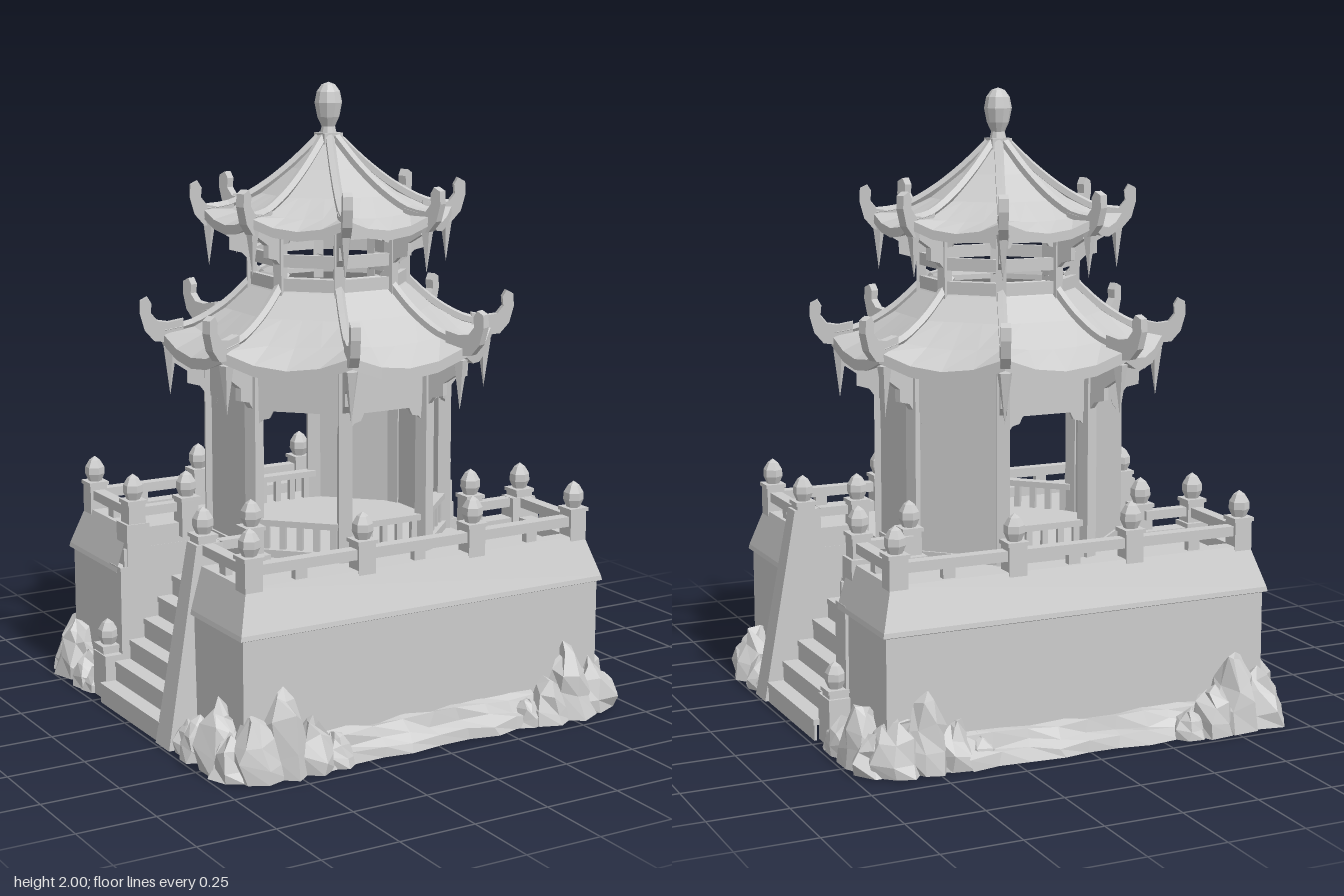
import * as THREE from 'three';

const stone = new THREE.MeshStandardMaterial({ color: 0xcccccc, side: THREE.DoubleSide });
stone.name = 'grey stone';

// Faceted mesh helper
function add(parent, name, geo, x = 0, y = 0, z = 0) {
  const g = geo.index ? geo.toNonIndexed() : geo;
  g.computeVertexNormals();
  const m = new THREE.Mesh(g, stone);
  m.name = name;
  m.position.set(x, y, z);
  parent.add(m);
  return m;
}

// Box given by its min and max corners
function block(parent, name, x0, x1, y0, y1, z0, z1) {
  return add(parent, name, new THREE.BoxGeometry(x1 - x0, y1 - y0, z1 - z0),
    (x0 + x1) / 2, (y0 + y1) / 2, (z0 + z1) / 2);
}

// Skin between equal-length rows of points
function loft(rows, closed) {
  const n = rows[0].length, pos = rows.flat(2), idx = [];
  for (let r = 0; r < rows.length - 1; r++) {
    for (let i = 0; i < (closed ? n : n - 1); i++) {
      const a = r * n + i, b = r * n + (i + 1) % n;
      idx.push(a, a + n, b, b, a + n, b + n);
    }
  }
  const g = new THREE.BufferGeometry();
  g.setAttribute('position', new THREE.Float32BufferAttribute(pos, 3));
  g.setIndex(idx);
  return g;
}

// Repeats a part at angles around the y axis, local +z pointing outwards
function around(parent, name, steps, build) {
  for (const k of steps) {
    const g = new THREE.Group();
    g.name = name;
    g.rotation.y = k * Math.PI / 4;
    build(g, k);
    parent.add(g);
  }
}
const FACES = [0, 1, 2, 3, 4, 5, 6, 7];
const CORNERS = FACES.map(k => k + 0.5);

// Eight-sided roof from [corner radius, height, corner lift]
function roofGeometry(profile) {
  const sub = 4;
  return loft(profile.map(([r, y, lift = 0]) => {
    const row = [];
    for (let k = 0; k < 8; k++) {
      const a = (k + 0.5) * Math.PI / 4, b = a + Math.PI / 4;
      for (let s = 0; s < sub; s++) {
        const t = s / sub;
        row.push([r * (Math.sin(a) * (1 - t) + Math.sin(b) * t), y + lift * (2 * t - 1) ** 2,
          r * (Math.cos(a) * (1 - t) + Math.cos(b) * t)]);
      }
    }
    return row;
  }), true);
}

// Flat plate with an outline in the (outward, up) plane
function finPlate(points, depth) {
  const shape = new THREE.Shape(points.map(p => new THREE.Vector2(...p)));
  const g = new THREE.ExtrudeGeometry(shape, { depth, bevelEnabled: false });
  return g.translate(0, 0, -depth / 2).rotateY(-Math.PI / 2);
}

// Roof with ridges; the horn rises from the eave corner at [r, y]
function roof(parent, name, profile, ridge, [r, y], bell) {
  add(parent, name, roofGeometry(profile));
  const curve = new THREE.CatmullRomCurve3(ridge.map(([pr, py]) => new THREE.Vector3(0, py, pr)));
  const horn = [[-0.08, 0], [-0.03, -0.035], [0.015, -0.03], [0.045, 0.005], [0.06, 0.06], [0.058, 0.1],
    [0.035, 0.112], [0.022, 0.09], [0.025, 0.06], [0.005, 0.035], [-0.03, 0.03], [-0.08, 0.04]];
  around(parent, name + ' corner', CORNERS, g => {
    add(g, 'ridge', new THREE.TubeGeometry(curve, 12, 0.016, 5));
    add(g, 'ridge horn', finPlate(horn.map(([a, b]) => [r + a, y + b]), 0.03));
    // Hanging pendant
    add(g, 'pendant', new THREE.ConeGeometry(0.024, bell[2], 5).rotateX(Math.PI), 0, bell[1] - bell[2] / 2, bell[0]);
  });
}

const lathe = (pts, n) => new THREE.LatheGeometry(pts.map(p => new THREE.Vector2(...p)), n);

// Square post topped by a bud
function post(parent, x, z, y0, y1) {
  const g = new THREE.Group();
  g.name = 'post';
  block(g, 'post shaft', -0.03, 0.03, y0, y1, -0.03, 0.03);
  block(g, 'post collar', -0.035, 0.035, y1, y1 + 0.012, -0.035, 0.035);
  add(g, 'post bud', lathe([[0.022, 0], [0.033, 0.025], [0.032, 0.048], [0.018, 0.072], [0, 0.085]], 6), 0, y1 + 0.012, 0);
  g.position.set(x, 0, z);
  parent.add(g);
}

// Rough displacement that depends only on position and seed
function roughen(geo, seed, ax, ay, az) {
  const p = geo.attributes.position;
  const h = (x, y, z, k) => {
    const v = Math.sin(Math.round(x * 1e3) * 12.9 + Math.round(y * 1e3) * 7.2 + Math.round(z * 1e3) * 3.7 + (seed + k) * 5.3) * 4375.85;
    return (v - Math.floor(v)) * 2 - 1;
  };
  for (let i = 0; i < p.count; i++) {
    const x = p.getX(i), y = p.getY(i), z = p.getZ(i);
    p.setXYZ(i, x + ax * h(x, y, z, 1), Math.max(0, y + (y > 0.001 ? ay * h(x, y, z, 2) : 0)), z + az * h(x, y, z, 3));
  }
  return geo;
}

function buildTerrace(model) {
  const t = new THREE.Group();
  t.name = 'terrace';
  // Retaining walls with a sloping top, open at the stairs
  const profile = [[0.645, 0.61, 0], [0.645, 0.61, 0.415], [0.658, 0.622, 0.42], [0.655, 0.62, 0.435],
    [0.615, 0.575, 0.565], [0.565, 0.525, 0.565], [0.565, 0.525, 0.5]];
  for (const s of [1, -1]) {
    const wall = loft(profile.map(([x, z, y]) => [[-x, y, 0.24], [-x, y, z], [x, y, z], [x, y, 0.24]]), false);
    const m = add(t, 'retaining wall', wall);
    if (s < 0) m.rotation.y = Math.PI;
    block(t, 'terrace floor', -0.6, 0.6, 0.5, 0.53, s > 0 ? 0.22 : -0.56, s > 0 ? 0.56 : -0.22);
    // Long rail, posts and balusters
    block(t, 'rail', -0.59, 0.59, 0.598, 0.63, s * 0.55 - 0.02, s * 0.55 + 0.02);
    for (const x of [-0.59, -0.2, 0.2, 0.59]) post(t, x, s * 0.55, 0.52, 0.645);
    for (const x of [-0.42, 0, 0.42]) block(t, 'baluster', x - 0.02, x + 0.02, 0.56, 0.6, s * 0.55 - 0.012, s * 0.55 + 0.012);
  }
  block(t, 'terrace floor', -0.37, 0.37, 0.5, 0.53, -0.22, 0.22);

  // Stairs and their flanks, mirrored left and right
  for (const s of [1, -1]) {
    const side = new THREE.Group();
    side.name = 'stair side';
    for (let i = 0; i < 8; i++) {
      const x = 0.735 - 0.053 * i, y = 0.065 * (i + 1);
      block(side, 'tread', x - 0.055, x, y - 0.018, y, -0.22, 0.22);
      block(side, 'riser', x - 0.012, x - 0.003, y - 0.068, y - 0.005, -0.22, 0.22);
    }
    for (const z of [0.25, -0.25]) {
      const e = Math.sign(z);
      post(side, 0.59, z, 0.5, 0.645);
      post(side, 0.41, e * 0.225, 0.52, 0.64);
      block(side, 'stair rail', 0.41, 0.59, 0.6, 0.63, z - 0.018, z + 0.018);
      block(side, 'stair parapet base', 0.37, 0.6, 0.5, 0.565, z - 0.03, z + 0.03);
      block(side, 'stair well wall', 0.37, 0.64, 0, 0.5, e * 0.225 - 0.006, e * 0.225 + 0.006);
      block(side, 'side rail', 0.57, 0.61, 0.598, 0.63, e > 0 ? 0.25 : -0.55, e > 0 ? 0.55 : -0.25);
      block(side, 'side baluster', 0.578, 0.602, 0.56, 0.6, e * 0.4 - 0.02, e * 0.4 + 0.02);
    }
    // Tall tapering buttress on one flank
    const corner = (x, y, z0, z1) => [[0.54, y, z0], [0.54, y, z1], [x, y, z1], [x, y, z0]];
    add(side, 'buttress', loft([corner(0.745, 0, 0.215, 0.31), corner(0.63, 0.63, 0.22, 0.285), corner(0.55, 0.631, 0.22, 0.285)], true));
    // Stepped wall and low post on the other
    block(side, 'flank pillar', 0.55, 0.63, 0, 0.58, -0.295, -0.215);
    block(side, 'flank step', 0.6, 0.655, 0, 0.44, -0.3, -0.215);
    block(side, 'low pedestal', 0.64, 0.715, 0, 0.15, -0.31, -0.215);
    post(side, 0.68, -0.27, 0.14, 0.165);
    if (s < 0) side.scale.x = -1;
    t.add(side);
  }
  model.add(t);
}

function buildRocks(model) {
  const rocks = new THREE.Group();
  rocks.name = 'rocks';
  const spots = [[0.52, 0.63, 0.085, 0.27], [0.61, 0.615, 0.095, 0.19], [0.67, 0.51, 0.08, 0.21],
    [0.43, 0.645, 0.075, 0.17], [0.685, 0.39, 0.065, 0.13], [0.35, 0.65, 0.06, 0.1], [0.66, 0.58, 0.08, 0.14], [0.69, 0.33, 0.045, 0.1]];
  let seed = 1;
  // Corner signs, depth factor and height factor
  for (const [sx, sz, deep, tall] of [[1, 1, 1, 0.85], [1, -1, 0.96, 0.9], [-1, 1, 1, 1], [-1, -1, 1.03, 0.9]]) {
    for (const [x, z, r, hh] of spots) {
      const h = hh * tall;
      const g = lathe([[r, 0], [r * 0.95, h * 0.3], [r * 0.68, h * 0.62], [r * 0.32, h * 0.88], [0, h]], 7);
      add(rocks, 'rock', roughen(g, seed++, r * 0.17, h * 0.09, r * 0.17), sx * x, 0, sz * z * deep);
    }
  }
  // Low stepped ledge between the corners
  for (const s of [1, -1]) {
    const rows = [];
    for (let i = 0; i <= 8; i++) {
      const x = -0.4 + i * 0.1, out = 0.01 * Math.cos(i * 2.1);
      rows.push([[x, 0, 0.69 + out], [x, 0.035, 0.682 + out], [x, 0.05, 0.65 + out], [x, 0.085, 0.635], [x, 0.09, 0.6]]);
    }
    const m = add(rocks, 'low rock ledge', roughen(loft(rows, false), seed++, 0.015, 0.01, 0.006));
    if (s < 0) m.rotation.y = Math.PI;
  }
  model.add(rocks);
}

function buildPavilion(model) {
  const p = new THREE.Group();
  p.name = 'pavilion';
  add(p, 'pavilion plinth', new THREE.CylinderGeometry(0.4, 0.4, 0.03, 8).rotateY(Math.PI / 8), 0, 0.54, 0);

  // Columns and corner brackets of both storeys
  around(p, 'column', CORNERS, g => {
    block(g, 'lower column', -0.021, 0.021, 0.53, 1.15, 0.362, 0.404);
    block(g, 'upper column', -0.016, 0.016, 1.34, 1.57, 0.232, 0.264);
    add(g, 'lower bracket', finPlate([[0.39, 0.99], [0.42, 1.03], [0.46, 1.04], [0.46, 1.08], [0.52, 1.12], [0.52, 1.16], [0.39, 1.16]], 0.022));
    add(g, 'upper bracket', finPlate([[0.25, 1.43], [0.28, 1.46], [0.32, 1.47], [0.32, 1.51], [0.37, 1.54], [0.37, 1.57], [0.25, 1.57]], 0.02));
  });

  // Beams, walls and open bays
  around(p, 'bay', FACES, (g, k) => {
    block(g, 'lower frieze', -0.15, 0.15, 1.0, 1.16, 0.346, 0.366);
    block(g, 'upper sill', -0.1, 0.1, 1.36, 1.4, 0.222, 0.24);
    block(g, 'upper rail', -0.1, 0.1, 1.435, 1.475, 0.222, 0.24);
    block(g, 'upper beam', -0.1, 0.1, 1.525, 1.57, 0.222, 0.24);
    for (const s of [1, -1]) {
      for (const [name, x, y, z, w] of [['beam spandrel', 0.142, 1.0, 0.349, 0.06], ['upper spandrel', 0.095, 1.525, 0.224, 0.035]]) {
        const tri = new THREE.Shape([[0, 0], [-w, 0], [-w * 0.8, -w * 0.4], [-w * 0.4, -w * 0.5], [0, -w]].map(q => new THREE.Vector2(...q)));
        const m = add(g, name, new THREE.ExtrudeGeometry(tri, { depth: 0.014, bevelEnabled: false }), s * x, y, z);
        m.scale.x = s;
      }
    }
    if ([2, 3, 5, 6].includes(k)) {
      block(g, 'wall panel', -0.14, 0.14, 0.53, 1.01, 0.348, 0.362);
    } else {
      // Low seat on balusters
      block(g, 'seat', -0.14, 0.14, 0.63, 0.65, 0.325, 0.365);
      for (let i = -2; i <= 2; i++) block(g, 'seat baluster', i * 0.055 - 0.01, i * 0.055 + 0.01, 0.55, 0.63, 0.34, 0.356);
    }
  });

  roof(p, 'lower roof',
    [[0.215, 1.38], [0.22, 1.4], [0.26, 1.355], [0.34, 1.283], [0.44, 1.21, 0.015], [0.54, 1.155, 0.05], [0.54, 1.12, 0.05], [0.37, 1.16]],
    [[0.22, 1.41], [0.26, 1.365], [0.34, 1.293], [0.44, 1.235], [0.53, 1.215]], [0.55, 1.21], [0.515, 1.16, 0.16]);
  roof(p, 'upper roof',
    [[0.03, 1.82], [0.12, 1.73], [0.22, 1.65], [0.32, 1.595, 0.01], [0.405, 1.565, 0.04], [0.405, 1.535, 0.04], [0.24, 1.57]],
    [[0.03, 1.825], [0.12, 1.74], [0.22, 1.665], [0.32, 1.615], [0.39, 1.605]], [0.385, 1.58], [0.385, 1.58, 0.16]);

  // Crowning bud on a square collar
  block(p, 'finial collar', -0.034, 0.034, 1.805, 1.84, -0.034, 0.034);
  add(p, 'finial', lathe([[0.028, 1.835], [0.022, 1.86], [0.036, 1.89], [0.045, 1.935], [0.038, 1.97], [0.022, 1.992], [0, 2]], 10));
  model.add(p);
}

export function createModel() {
  const model = new THREE.Group();
  model.name = 'garden pavilion';
  buildTerrace(model);
  buildRocks(model);
  buildPavilion(model);
  return model;
}
